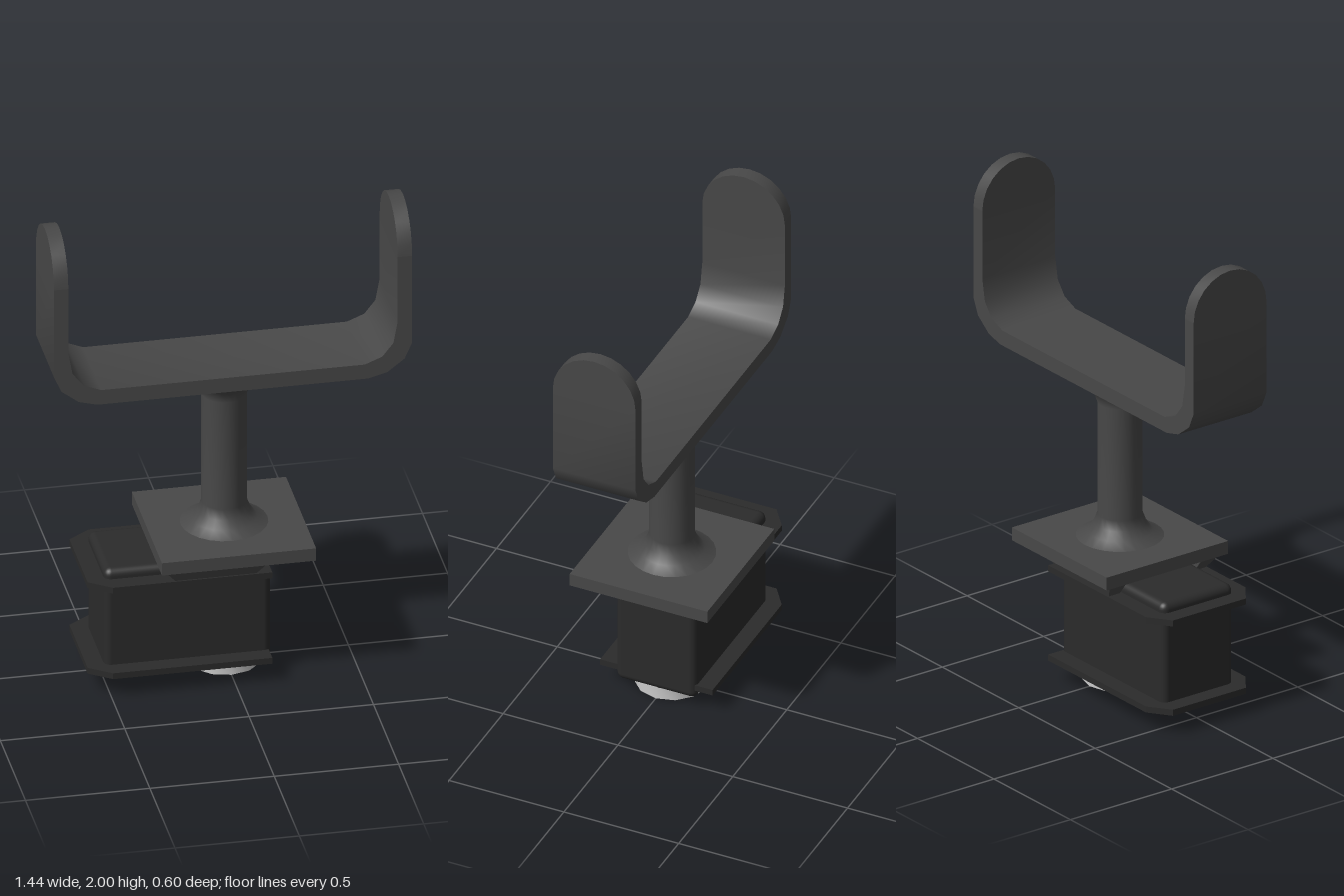
import * as THREE from 'three';
import { toCreasedNormals } from 'three/addons/utils/BufferGeometryUtils.js';
import { RoundedBoxGeometry } from 'three/addons/geometries/RoundedBoxGeometry.js';

export function createModel() {
  const model = new THREE.Group();
  const bracketMat = new THREE.MeshStandardMaterial({ color: 0x484848 });
  const bodyMat = new THREE.MeshStandardMaterial({ color: 0x2b2b2b });
  const greyMat = new THREE.MeshStandardMaterial({ color: 0xcccccc, side: THREE.DoubleSide });

  const add = (name, geometry, material, x = 0, y = 0, z = 0, parent = model) => {
    const mesh = new THREE.Mesh(geometry, material);
    mesh.name = name;
    mesh.position.set(x, y, z);
    parent.add(mesh);
    return mesh;
  };
  const shapeOf = pts => new THREE.Shape(pts.map(p => new THREE.Vector2(...p)));
  const extrude = (shape, depth, curveSegments = 6) =>
    new THREE.ExtrudeGeometry(shape, { depth, bevelEnabled: false, curveSegments });

  // U-shaped fork: a bent strip with half-round tips
  const fork = new THREE.Group();
  fork.name = 'fork';
  model.add(fork);
  const halfWidth = 0.18, tipY = 1.82;
  const outer = [[0.72, tipY], [0.72, 1.43], [0.69, 1.362], [0.62, 1.308], [0.545, 1.288]];
  const inner = [[0.53, 1.352], [0.6, 1.38], [0.645, 1.437], [0.662, 1.53], [0.662, tipY]];
  const flip = pts => pts.map(([x, y]) => [-x, y]).reverse();
  const strip = extrude(shapeOf([...outer, ...flip(outer), ...flip(inner), ...inner]), halfWidth * 2);
  strip.translate(0, 0, -halfWidth);
  add('forkStrip', toCreasedNormals(strip, 0.65), bracketMat, 0, 0, 0, fork);

  const half = new THREE.Shape();
  half.moveTo(halfWidth, 0);
  half.absarc(0, 0, halfWidth, 0, Math.PI, false);
  const tip = extrude(half, 0.058, 6).rotateY(Math.PI / 2).translate(-0.029, 0, 0);
  for (const s of [-1, 1]) add('forkTip', toCreasedNormals(tip, 0.65), bracketMat, s * 0.691, tipY, 0, fork);

  // Flared stem
  const stem = [[0.18, 0.612], [0.13, 0.637], [0.105, 0.67], [0.09, 0.71],
    [0.09, 1.19], [0.105, 1.232], [0.13, 1.265], [0.18, 1.29]];
  add('stem', new THREE.LatheGeometry(stem.map(p => new THREE.Vector2(...p)), 24), bracketMat);

  // Mounting plate with a tapered rail under each side
  add('mountingPlate', new THREE.BoxGeometry(0.62, 0.055, 0.6), bracketMat, 0, 0.587, 0);
  for (const s of [-1, 1]) {
    const rail = new THREE.BoxGeometry(1, 1, 1);
    const pos = rail.attributes.position;
    for (let i = 0; i < pos.count; i++) {
      const top = pos.getY(i) > 0, right = pos.getX(i) > 0, out = pos.getZ(i) * s > 0;
      const x = right ? (top ? 0.13 : 0.08) : (top ? -0.295 : -0.24);
      const z = out ? (top ? 0.275 : 0.235) : 0.185;
      pos.setXYZ(i, x, top ? 0.562 : 0.49, z * s);
    }
    rail.computeVertexNormals();
    add('mountingRail', rail, bracketMat);
  }

  // Motor housing
  add('housing', new RoundedBoxGeometry(0.67, 0.49, 0.35, 3, 0.03), bodyMat, -0.18, 0.29, 0);

  // Flanges, chamfered at the far end
  const flange = extrude(shapeOf([[0.145, -0.245], [0.145, 0.245], [-0.495, 0.245],
    [-0.585, 0.18], [-0.585, -0.18], [-0.495, -0.245]]), 0.026).rotateX(-Math.PI / 2);
  for (const y of [0.085, 0.469]) add('flange', flange, bodyMat, 0, y, 0);

  // Hollow output ring with a dark recess
  const ring = [[0.125, 0.05], [0.125, 0], [0.15, 0], [0.15, 0.05]].map(p => new THREE.Vector2(...p));
  add('outputRing', toCreasedNormals(new THREE.LatheGeometry(ring, 12), 0.65), greyMat);
  add('outputRecess', new THREE.CylinderGeometry(0.125, 0.125, 0.02, 12), bodyMat, 0, 0.045, 0);

  return model;
}
